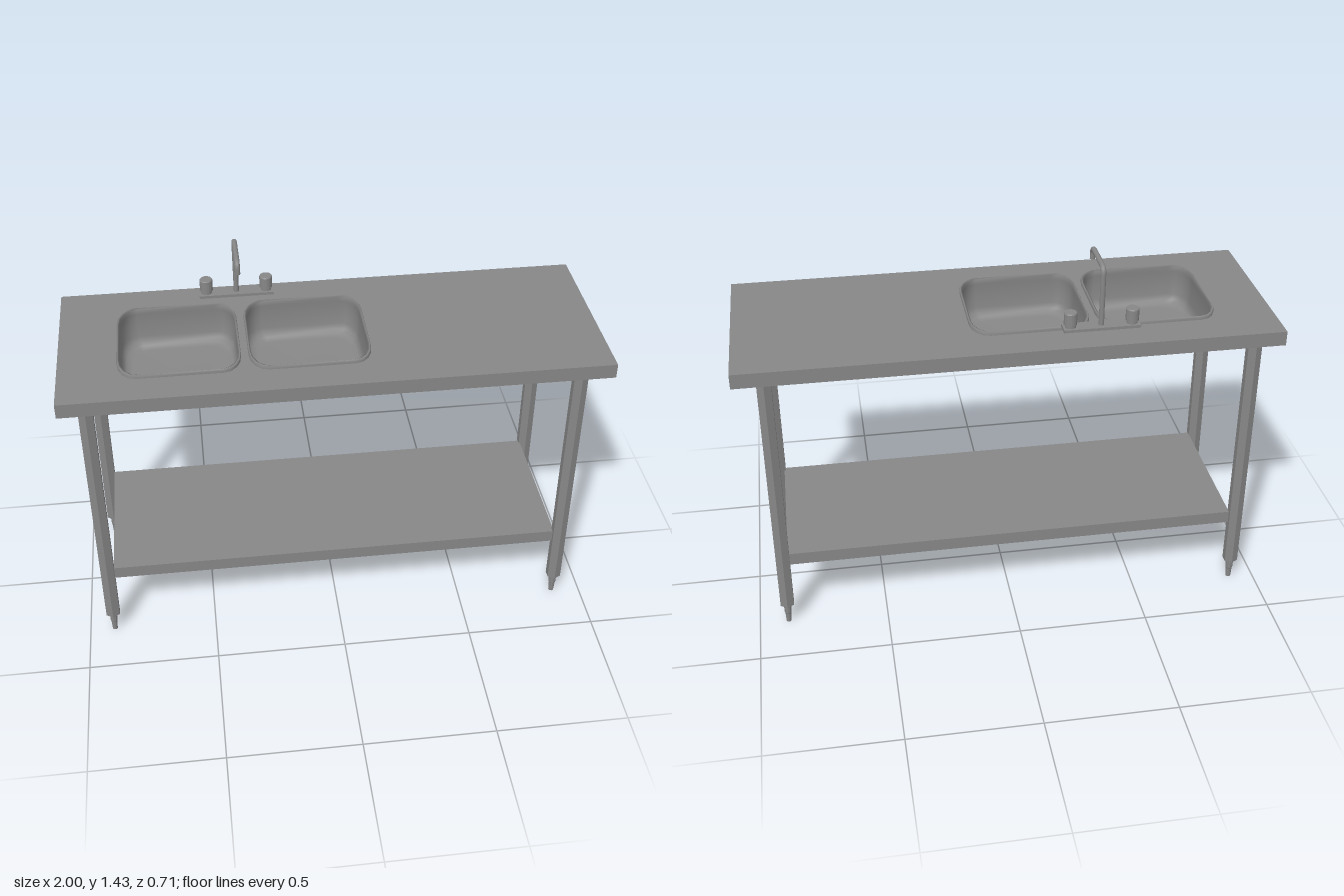
import * as THREE from 'three';

const GREY = 0x878787;
const steel = new THREE.MeshStandardMaterial({ color: GREY, side: THREE.DoubleSide });
const flatSteel = new THREE.MeshStandardMaterial({ color: GREY, flatShading: true });

const BASIN_X = [-0.563, -0.088], BASIN_Z = 0.007, HALF = 0.224;
const CORNER_X = 0.068, CORNER_Z = 0.1;

function add(parent, name, geometry, material, x = 0, y = 0, z = 0) {
  const mesh = new THREE.Mesh(geometry, material);
  mesh.name = name;
  mesh.position.set(x, y, z);
  parent.add(mesh);
  return mesh;
}

// Square outline in x/z with half-width h and faceted elliptical corners
function outline(h, steps = 4) {
  const rx = Math.min(CORNER_X, h), rz = Math.min(CORNER_Z, h), pts = [];
  for (let q = 0; q < 4; q++) {
    const cx = (q === 0 || q === 3 ? 1 : -1) * (h - rx);
    const cz = (q < 2 ? 1 : -1) * (h - rz);
    for (let i = 0; i <= steps; i++) {
      const a = (q + i / steps) * Math.PI / 2;
      pts.push(new THREE.Vector2(cx + rx * Math.cos(a), cz + rz * Math.sin(a)));
    }
  }
  return pts;
}

// Bowl skinned through the outlines, from the rim to the floor
function basinGeometry() {
  const profile = [
    [0, 1.158], [0, 1.17], [0.003, 1.176], [0.009, 1.172], [0.006, 1.15], [0.004, 1.105], [0.007, 1.05],
    [0.013, 1.029], [0.024, 1.016], [0.045, 1.009], [HALF, 1.008],
  ];
  const positions = [], index = [];
  let n = 0;
  for (const [inset, y] of profile) {
    const ring = outline(HALF - inset);
    n = ring.length;
    for (const p of ring) positions.push(p.x, y, p.y);
  }
  for (let i = 0; i < profile.length - 1; i++) {
    for (let j = 0; j < n; j++) {
      const k = (j + 1) % n;
      const a = i * n + j, b = i * n + k, c = a + n, d = b + n;
      index.push(a, c, b, b, c, d);
    }
  }
  const g = new THREE.BufferGeometry();
  g.setAttribute('position', new THREE.Float32BufferAttribute(positions, 3));
  g.setIndex(index);
  g.computeVertexNormals();
  return g;
}

// Worktop slab with a cut-out for each basin
function worktopGeometry() {
  const shape = new THREE.Shape([[-1, -0.356], [1, -0.356], [1, 0.356], [-1, 0.356]]
    .map(([x, z]) => new THREE.Vector2(x, z)));
  for (const x of BASIN_X) {
    const pts = outline(HALF - 0.003).map(p => new THREE.Vector2(p.x + x, p.y + BASIN_Z));
    shape.holes.push(new THREE.Path(pts));
  }
  return new THREE.ExtrudeGeometry(shape, { depth: 0.056, bevelEnabled: false }).rotateX(Math.PI / 2);
}

// Hexagonal leg on a stepped, tapering foot
function makeLeg(x, z) {
  const leg = new THREE.Group();
  leg.name = 'leg';
  add(leg, 'legPost', new THREE.CylinderGeometry(0.03, 0.03, 1.02, 6), flatSteel, 0, 0.597);
  const foot = [[0, 0], [0.01, 0], [0.012, 0.042], [0.014, 0.046], [0.015, 0.09]]
    .map(([r, y]) => new THREE.Vector2(r, y));
  add(leg, 'foot', new THREE.LatheGeometry(foot, 10), flatSteel);
  leg.position.set(x, 0, z);
  return leg;
}

function makeTap() {
  const tap = new THREE.Group();
  tap.name = 'tap';
  add(tap, 'tapPlate', new THREE.BoxGeometry(0.283, 0.011, 0.055), flatSteel, 0, 1.192, 0);
  for (const side of [-1, 1]) {
    const profile = [[0, 0], [0.02, 0], [0.02, 0.011], [0.0245, 0.013], [0.0245, 0.057], [0.022, 0.061], [0, 0.061]]
      .map(([r, y]) => new THREE.Vector2(r, y));
    add(tap, 'tapKnob', new THREE.LatheGeometry(profile, 16), flatSteel, side * 0.114, 1.196, 0);
  }
  // Spout rises, bends forward and drops at the mouth
  const v = (y, z) => new THREE.Vector3(0, y, z);
  const path = new THREE.CurvePath();
  path.add(new THREE.LineCurve3(v(1.195, 0), v(1.395, 0)));
  path.add(new THREE.QuadraticBezierCurve3(v(1.395, 0), v(1.421, 0), v(1.421, 0.026)));
  path.add(new THREE.LineCurve3(v(1.421, 0.026), v(1.421, 0.152)));
  path.add(new THREE.QuadraticBezierCurve3(v(1.421, 0.152), v(1.421, 0.178), v(1.395, 0.178)));
  path.add(new THREE.LineCurve3(v(1.395, 0.178), v(1.376, 0.178)));
  add(tap, 'spout', new THREE.TubeGeometry(path, 90, 0.01, 12), steel);
  tap.position.set(-0.328, 0, -0.26);
  return tap;
}

export function createModel() {
  const model = new THREE.Group();
  model.name = 'sinkTable';

  add(model, 'worktop', worktopGeometry(), flatSteel, 0, 1.161, 0);
  add(model, 'shelf', new THREE.BoxGeometry(1.744, 0.05, 0.592), flatSteel, -0.005, 0.299, 0.002);

  for (const x of [-0.903, 0.888]) {
    for (const z of [-0.293, 0.296]) model.add(makeLeg(x, z));
  }

  // Twin basins with drains
  const bowl = basinGeometry();
  for (const x of BASIN_X) {
    add(model, 'basin', bowl, steel, x, 0, BASIN_Z);
    add(model, 'drain', new THREE.CylinderGeometry(0.028, 0.028, 0.004, 20), flatSteel, x, 1.0115, 0.002);
  }

  model.add(makeTap());
  return model;
}
